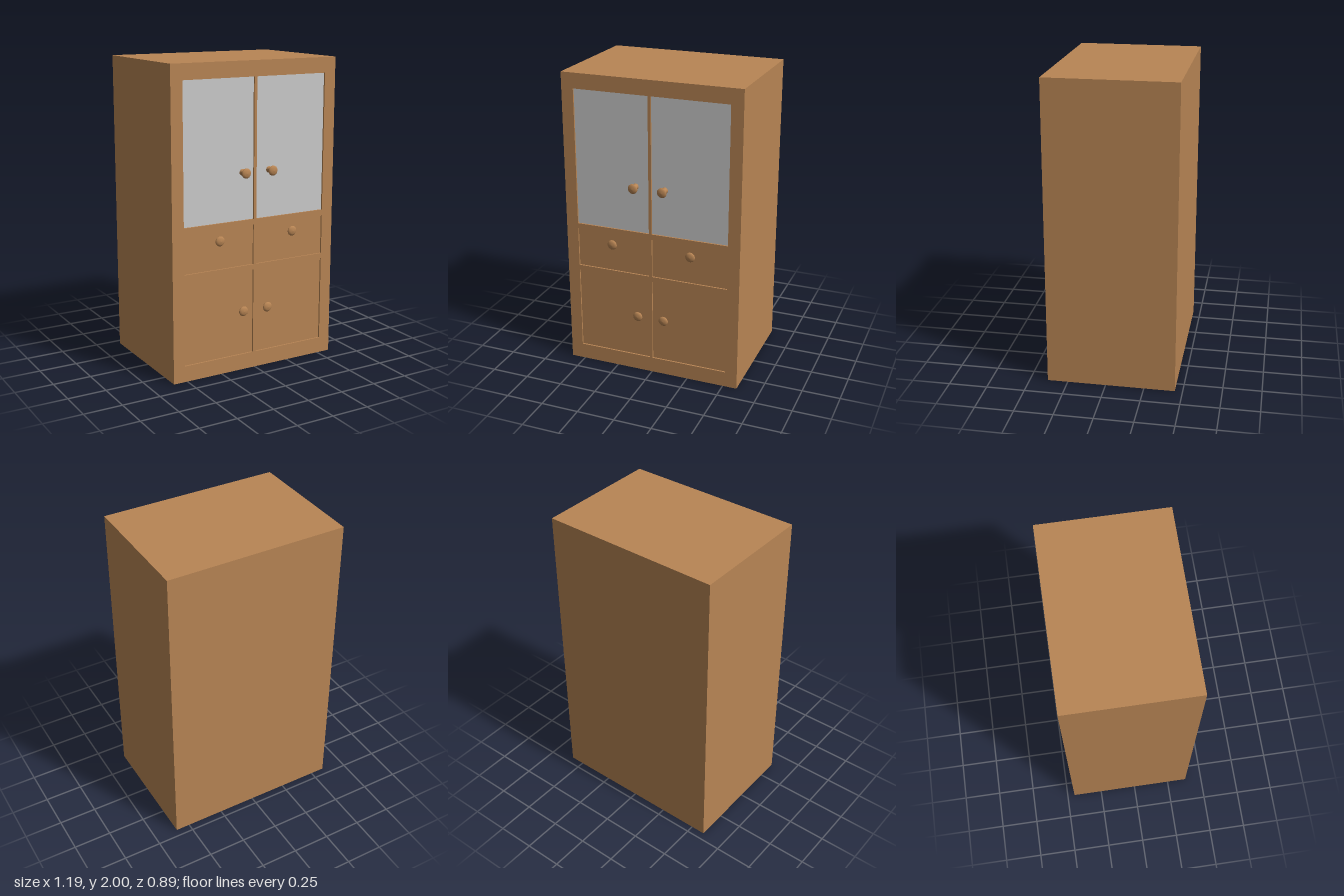
import * as THREE from 'three';

const wood = new THREE.MeshStandardMaterial({ color: 0xb88554 });
const glass = new THREE.MeshStandardMaterial({ color: 0xcccccc });

const W = 0.595, H = 2, BACK = -0.45, FRONT = 0.383, RECESS = 0.013;
const columns = [[-0.515, -0.014], [0.005, 0.515]];
const rows = [
  { name: 'Door', y: [0.105, 0.667] },
  { name: 'Drawer', y: [0.702, 0.964] },
  { name: 'GlassDoor', y: [1.0, 1.9] },
];

function add(parent, name, geometry, material, x = 0, y = 0, z = 0) {
  const mesh = new THREE.Mesh(geometry, material);
  mesh.name = name;
  mesh.position.set(x, y, z);
  parent.add(mesh);
  return mesh;
}

function rectangle(path, [x0, x1], [y0, y1]) {
  path.moveTo(x0, y0);
  path.lineTo(x1, y0);
  path.lineTo(x1, y1);
  path.lineTo(x0, y1);
  path.closePath();
  return path;
}

// Turned knob: flared stem and a rounded, flattened head, with z = 0 at the tip
function knobGeometry() {
  const profile = [
    [0.021, -0.062], [0.017, -0.052], [0.015, -0.042], [0.016, -0.033], [0.02, -0.026],
    [0.028, -0.022], [0.032, -0.016], [0.032, -0.012], [0.028, -0.007], [0.018, -0.002], [0, 0],
  ].map(([r, y]) => new THREE.Vector2(r, y));
  return new THREE.LatheGeometry(profile, 32).rotateX(Math.PI / 2);
}

export function createModel() {
  const cabinet = new THREE.Group();
  cabinet.name = 'cabinet';

  // Solid carcass behind the face frame
  const inner = FRONT - RECESS;
  add(cabinet, 'carcass', new THREE.BoxGeometry(2 * W, H, inner - BACK), wood, 0, H / 2, (inner + BACK) / 2);

  // Face frame with an opening for each door and drawer
  const frame = rectangle(new THREE.Shape(), [-W, W], [0, H]);
  for (const { y } of rows)
    for (const x of columns) frame.holes.push(rectangle(new THREE.Path(), x, y));
  add(cabinet, 'faceFrame', new THREE.ExtrudeGeometry(frame, { depth: RECESS, bevelEnabled: false }), wood, 0, 0, inner);

  // Recessed door, drawer and glass panels
  for (const { name, y } of rows) {
    columns.forEach(([x0, x1], i) => {
      const geometry = new THREE.BoxGeometry(x1 - x0, y[1] - y[0], 0.004);
      add(cabinet, (i ? 'left' : 'right') + name, geometry, name === 'GlassDoor' ? glass : wood,
        (x0 + x1) / 2, (y[0] + y[1]) / 2, inner);
    });
  }

  // Knobs: the upper pair stands further out
  const knob = knobGeometry();
  const knobs = [
    ['rightGlassDoorKnob', -0.1, 1.31, 0.445], ['leftGlassDoorKnob', 0.096, 1.31, 0.445],
    ['rightDrawerKnob', -0.267, 0.89, 0.409], ['leftDrawerKnob', 0.271, 0.89, 0.409],
    ['rightDoorKnob', -0.094, 0.402, 0.409], ['leftDoorKnob', 0.087, 0.402, 0.409],
  ];
  for (const [name, x, y, z] of knobs) add(cabinet, name, knob, wood, x, y, z);

  return cabinet;
}
